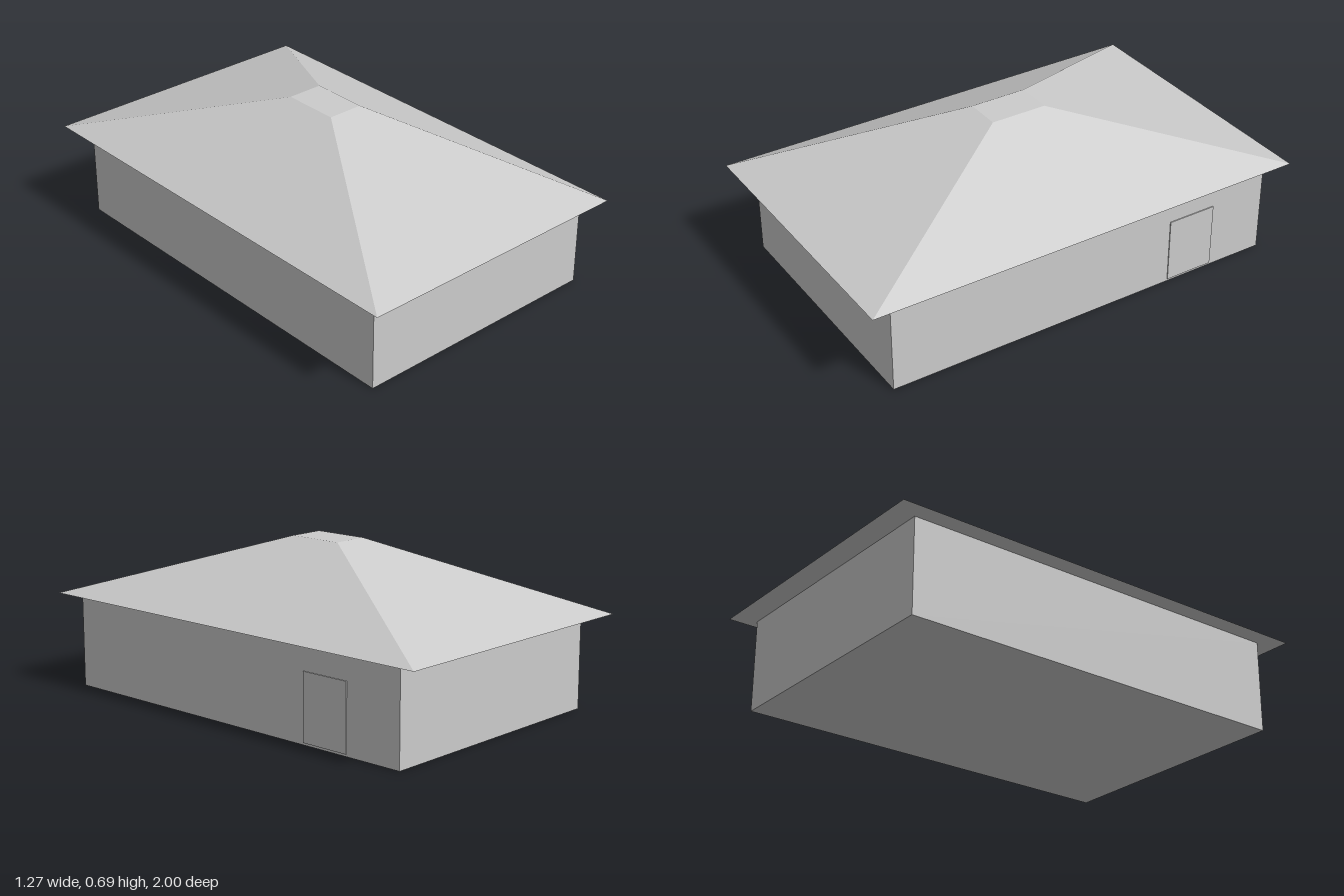
import * as THREE from 'three';

const material = new THREE.MeshStandardMaterial({ color: 0xcccccc, flatShading: true });

// Box given by its lower and upper corners
function box(name, [x0, y0, z0], [x1, y1, z1]) {
  const mesh = new THREE.Mesh(new THREE.BoxGeometry(x1 - x0, y1 - y0, z1 - z0), material);
  mesh.position.set((x0 + x1) / 2, (y0 + y1) / 2, (z0 + z1) / 2);
  mesh.name = name;
  return mesh;
}

export function createModel() {
  const group = new THREE.Group();
  group.name = 'house';

  const eaveY = 0.405, ridgeY = 0.69;

  // Walls, slightly off-centre under the roof
  group.add(box('walls', [-0.558, 0, -0.896], [0.586, eaveY, 0.9]));

  // Thin door on the left wall, towards the back
  group.add(box('door', [0.576, 0.01, -0.635], [0.59, 0.295, -0.413]));

  // Hipped roof with a small flat top: a four-sided frustum stretched to the eaves
  const height = ridgeY - eaveY;
  const frustum = new THREE.CylinderGeometry(0.125 * Math.SQRT2, Math.SQRT2, height, 4, 1)
    .rotateY(Math.PI / 4)
    .scale(0.636, 1, 1)
    .toNonIndexed();
  frustum.computeVertexNormals();
  const roof = new THREE.Mesh(frustum, material);
  roof.position.y = eaveY + height / 2;
  roof.name = 'roof';
  group.add(roof);

  return group;
}
